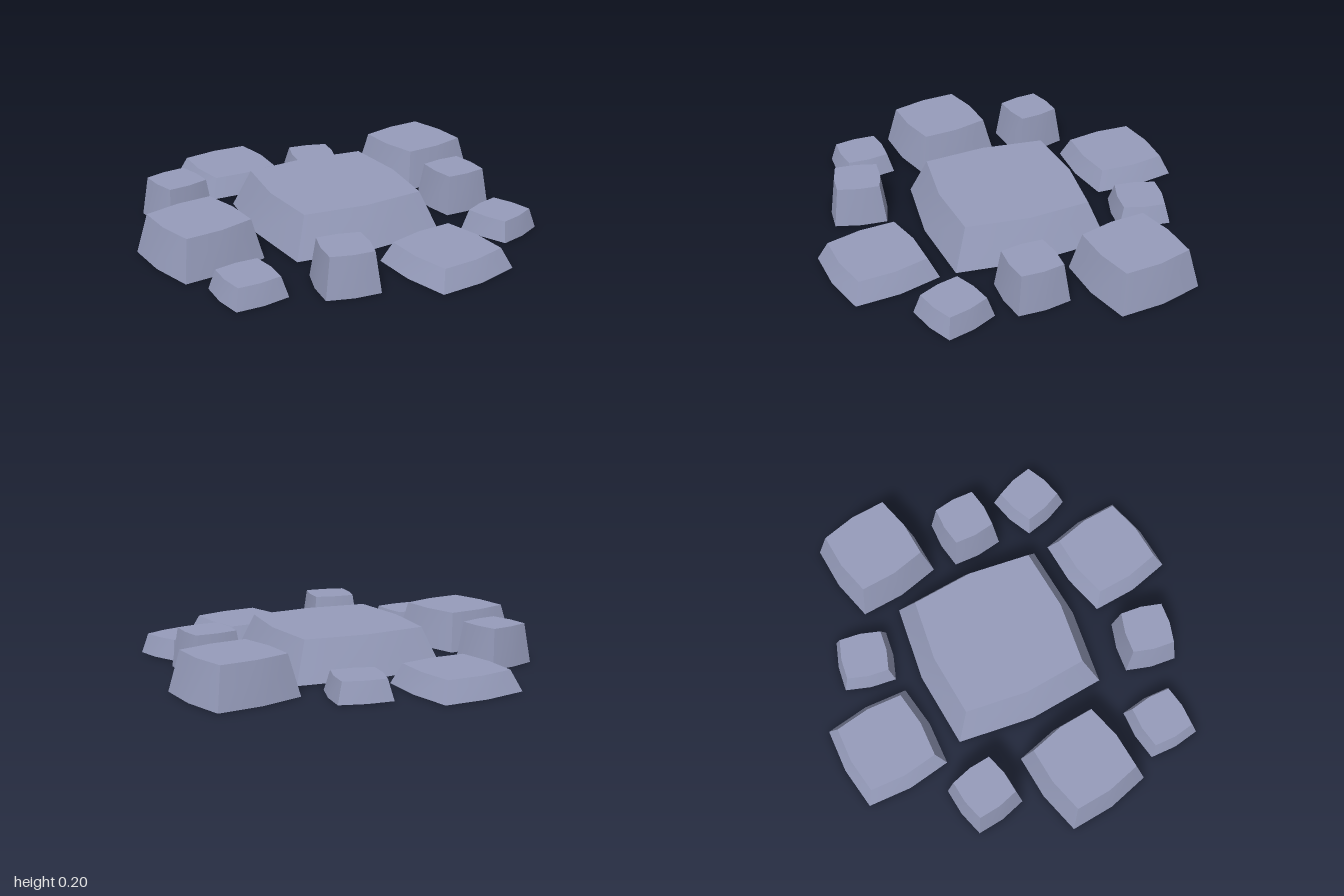
import * as THREE from 'three';
import { toCreasedNormals } from 'three/addons/utils/BufferGeometryUtils.js';

const stone = new THREE.MeshStandardMaterial({ color: 0x969cbb });
stone.name = 'blue grey stone';

// A tapered square block whose four sides bow out slightly in the middle
function pavingStone(name, x, z, half, height, tilt) {
  const geo = new THREE.CylinderGeometry(0.81, 1, height, 8, 1);
  const pos = geo.attributes.position;
  for (let i = 0; i < pos.count; i++) {
    const px = pos.getX(i), pz = pos.getZ(i);
    const corner = Math.abs(px) > 0.1 && Math.abs(pz) > 0.1;
    const k = half * (corner ? Math.SQRT2 : 1.1);
    pos.setX(i, px * k);
    pos.setZ(i, pz * k);
  }
  geo.translate(0, height / 2, 0);
  // Sides stay softly curved, corners and rims stay sharp
  const mesh = new THREE.Mesh(toCreasedNormals(geo, 0.5), stone);
  mesh.name = name;
  mesh.position.set(x, 0, z);
  mesh.rotation.y = -THREE.MathUtils.degToRad(tilt);
  return mesh;
}

export function createModel() {
  const group = new THREE.Group();
  group.name = 'pavingStones';
  const low = 0.1, high = 0.2;

  // name, x, z, half width, height, clockwise tilt in degrees
  const stones = [
    ['centreStone', 0.02, 0, 0.392, high, 5.5],
    // Medium stones
    ['backStone', -0.174, -0.753, 0.219, low, 0],
    ['leftStone', 0.757, -0.32, 0.219, high, -5.6],
    ['rightStone', -0.757, 0.035, 0.219, high, -6],
    ['frontStone', 0.171, 0.747, 0.219, low, -5.5],
    // Small stones
    ['smallStoneBackRight', -0.636, -0.455, 0.132, high, -7],
    ['smallStoneBackLeft', 0.285, -0.634, 0.131, low, 17],
    ['smallStoneLeft', 0.66, 0.167, 0.133, high, 0],
    ['smallStoneFrontLeft', 0.65, 0.557, 0.132, low, -15.5],
    ['smallStoneFrontRight', -0.34, 0.661, 0.131, high, 15.5],
    ['smallStoneRight', -0.751, 0.499, 0.133, low, 0],
  ];
  for (const s of stones) group.add(pavingStone(...s));
  return group;
}
